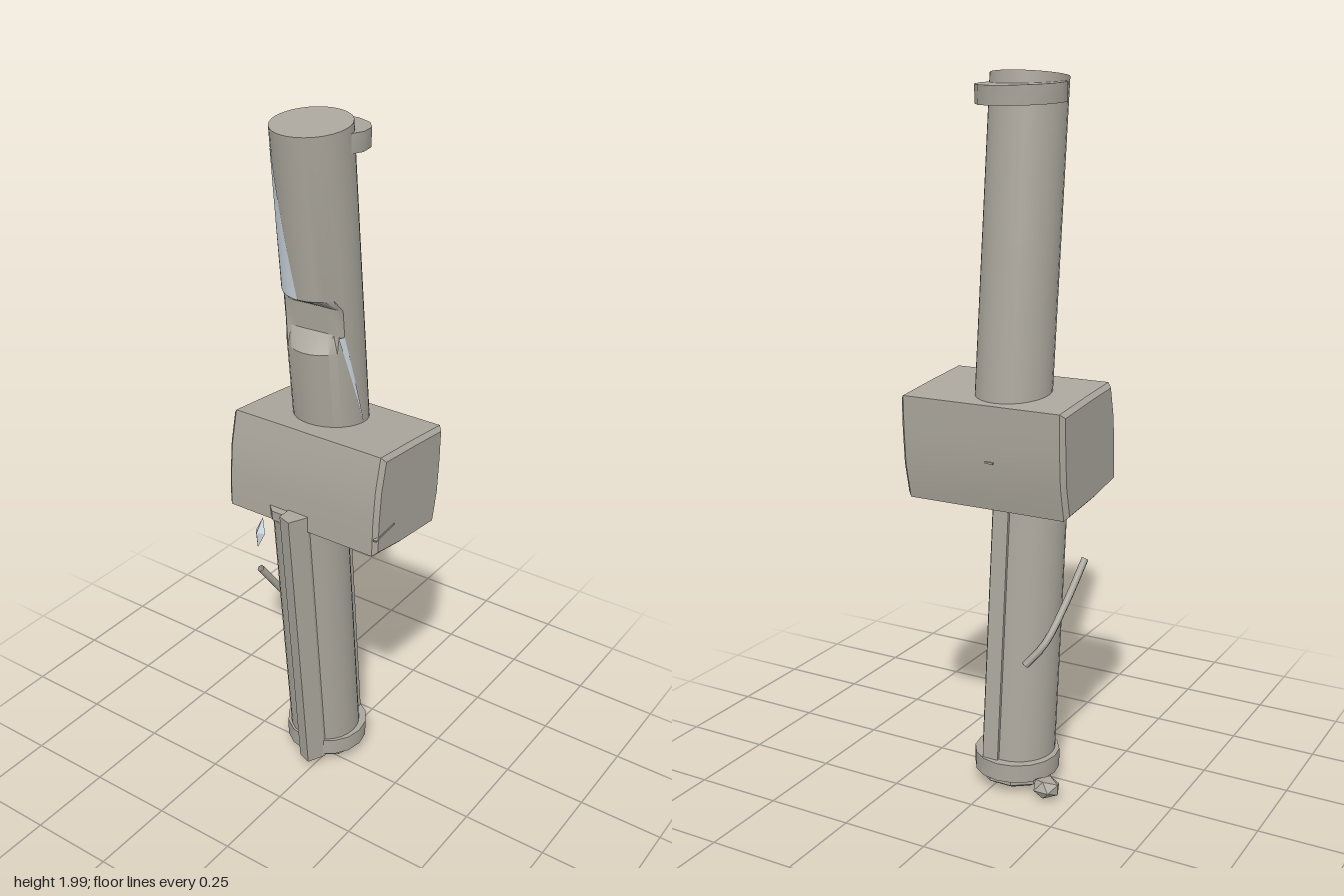
import * as THREE from 'three';
import { toCreasedNormals } from 'three/addons/utils/BufferGeometryUtils.js';

const Z = -0.035; // depth of the column axis
const LEAN_UP = 0.105;
const LEAN_LOW = 0.09;
const RADIUS = 0.105;

export function createModel() {
  const model = new THREE.Group();
  const paint = (name, color) => {
    const material = new THREE.MeshStandardMaterial({ color, side: THREE.DoubleSide });
    material.name = name;
    return material;
  };
  const stone = paint('warm grey', 0xaaa69c);
  const pale = paint('pale blue grey', 0xcdd8e0);

  const add = (name, geometry, x = 0, y = 0, z = 0, lean = 0, parent = model, material = stone) => {
    const mesh = new THREE.Mesh(geometry, material);
    mesh.name = name;
    mesh.position.set(x, y, z);
    mesh.rotation.z = lean;
    parent.add(mesh);
    return mesh;
  };
  const lathe = (points, sides) =>
    new THREE.LatheGeometry(points.map(([r, y]) => new THREE.Vector2(r, y)), sides);
  const polygon = (points) => new THREE.Shape(points.map(([x, y]) => new THREE.Vector2(x, y)));

  // Upper column with a chipped notch on its right side
  const upperGroup = new THREE.Group();
  upperGroup.name = 'upperColumn';
  upperGroup.position.set(0.072, 1.1, Z);
  upperGroup.rotation.z = LEAN_UP;
  model.add(upperGroup);
  const rows = [[0, 0], [0.3, 0], [0.345, 0.05], [0.42, 0.052], [0.455, 0], [0.88, 0], [0.89, 0]];
  const upper = lathe([[0, 0], ...rows.map(([y]) => [RADIUS, y]), [0, 0.89]], 28);
  const chipDir = new THREE.Vector3(-1, 0, 0.05).normalize();
  const pos = upper.attributes.position;
  const p = new THREE.Vector3();
  for (let i = 0; i < pos.count; i++) {
    p.fromBufferAttribute(pos, i);
    const row = rows.find(([y]) => Math.abs(y - p.y) < 1e-4);
    const excess = p.dot(chipDir) - (RADIUS - (row ? row[1] : 0));
    if (excess > 0) p.addScaledVector(chipDir, -excess);
    pos.setXYZ(i, p.x, p.y, p.z);
  }
  add('upperShaft', toCreasedNormals(upper, 0.5), 0, 0, 0, 0, upperGroup);

  // Pale scars: thin tapering patches hugging the shaft, each end [height, angle from, angle to]
  const scar = (name, [y0, a0, b0], [y1, a1, b1]) => {
    const patch = new THREE.PlaneGeometry(1, 1, 6, 10);
    const v = patch.attributes.position;
    const mix = THREE.MathUtils.lerp;
    for (let i = 0; i < v.count; i++) {
      const t = v.getY(i) + 0.5;
      const a = mix(mix(a0, a1, t), mix(b0, b1, t), v.getX(i) + 0.5);
      v.setXYZ(i, Math.sin(a) * (RADIUS + 0.002), mix(y0, y1, t), Math.cos(a) * (RADIUS + 0.002));
    }
    patch.computeVertexNormals();
    add(name, patch, 0, 0, 0, 0, upperGroup, pale);
  };
  scar('longScar', [0.455, -2.45, -1.6], [0.84, -2.3, -2.22]);
  scar('frontScar', [0.07, -0.03, 0], [0.345, -0.62, -0.46]);

  // Offset collar under the top
  const collar = new THREE.CylinderGeometry(0.12, 0.12, 0.05, 14);
  add('topCollar', toCreasedNormals(collar, 0.6), 0.042, 1.94, Z - 0.008, -0.06);

  // Middle block with gently bowed sides
  const blockShape = polygon([
    [-0.088, 1.163], [-0.108, 1.08], [-0.117, 0.99], [-0.12, 0.903],
    [0.0, 0.882], [0.157, 0.865], [0.176, 0.95], [0.183, 1.05], [0.185, 1.135], [0.05, 1.15],
  ]);
  const block = new THREE.ExtrudeGeometry(blockShape, {
    depth: 0.474, bevelEnabled: true, bevelThickness: 0.012, bevelSize: 0.012, bevelSegments: 1,
  });
  block.translate(0, 0, -0.239);
  add('middleBlock', toCreasedNormals(block, 0.4));

  // Small splinters on the block
  add('frontSplinter', new THREE.BoxGeometry(0.09, 0.005, 0.01), -0.088, 0.95, 0.244, 0.12);
  add('sideSplinter', new THREE.BoxGeometry(0.012, 0.005, 0.025), 0.19, 0.99, -0.03);

  // Lower column with a narrow rib on its left side
  const lower = new THREE.Group();
  lower.name = 'lowerColumn';
  lower.position.set(0.04, 0.05, Z);
  lower.rotation.z = LEAN_LOW;
  model.add(lower);
  const shaft = new THREE.CylinderGeometry(RADIUS, RADIUS, 0.85, 28);
  add('shaft', toCreasedNormals(shaft, 0.6), 0, 0.425, 0, 0, lower);
  add('leftRib', new THREE.BoxGeometry(0.03, 0.84, 0.048), 0.098, 0.42, 0.032, 0, lower);

  // Right rail and the stepped plate at its top, sheared to follow the lean
  const railPiece = (name, points, bottom, top) => {
    const piece = new THREE.ExtrudeGeometry(polygon(points), { depth: top - bottom, bevelEnabled: false });
    piece.rotateX(-Math.PI / 2);
    const v = piece.attributes.position;
    for (let i = 0; i < v.count; i++) {
      v.setY(i, v.getY(i) + bottom);
      v.setX(i, v.getX(i) + (0.94 - v.getY(i)) * LEAN_LOW);
    }
    piece.computeVertexNormals();
    add(name, piece);
  };
  railPiece('rightRail', [[-0.186, 0], [-0.172, 0.04], [-0.1, 0.04], [-0.1, -0.025], [-0.135, -0.025]], 0.04, 0.94);
  railPiece('railPlate', [[-0.17, 0.04], [-0.155, 0.04], [-0.155, 0.08], [-0.13, 0.105], [-0.09, 0.09], [-0.09, -0.02]], 0.905, 0.935);

  // Loose shard beside the rail
  const shard = add('shard', new THREE.OctahedronGeometry(0.04), -0.178, 0.87, -0.103, -0.3, model, pale);
  shard.scale.set(0.45, 1.1, 0.4);

  // Foot ring and rough plug
  const ring = new THREE.CylinderGeometry(0.122, 0.122, 0.052, 16);
  add('footRing', toCreasedNormals(ring, 0.6), 0.045, 0.078, Z);
  const plug = lathe([[0, 0.012], [0.05, 0.008], [0.085, 0.02], [0.108, 0.035], [0.108, 0.06]], 10);
  add('footPlug', toCreasedNormals(plug, 0.3), 0.045, 0, Z);
  const knob = add('footKnob', new THREE.IcosahedronGeometry(0.042), 0.122, 0.045, -0.17);
  knob.scale.set(1, 0.7, 1);

  // Curved twig wrapping the back of the lower column
  const twig = new THREE.CatmullRomCurve3([
    new THREE.Vector3(0.1, 0.39, -0.09),
    new THREE.Vector3(0.07, 0.45, -0.135),
    new THREE.Vector3(0.0, 0.55, -0.163),
    new THREE.Vector3(-0.078, 0.665, -0.185),
  ]);
  add('twig', new THREE.TubeGeometry(twig, 12, 0.011, 6));

  return model;
}
